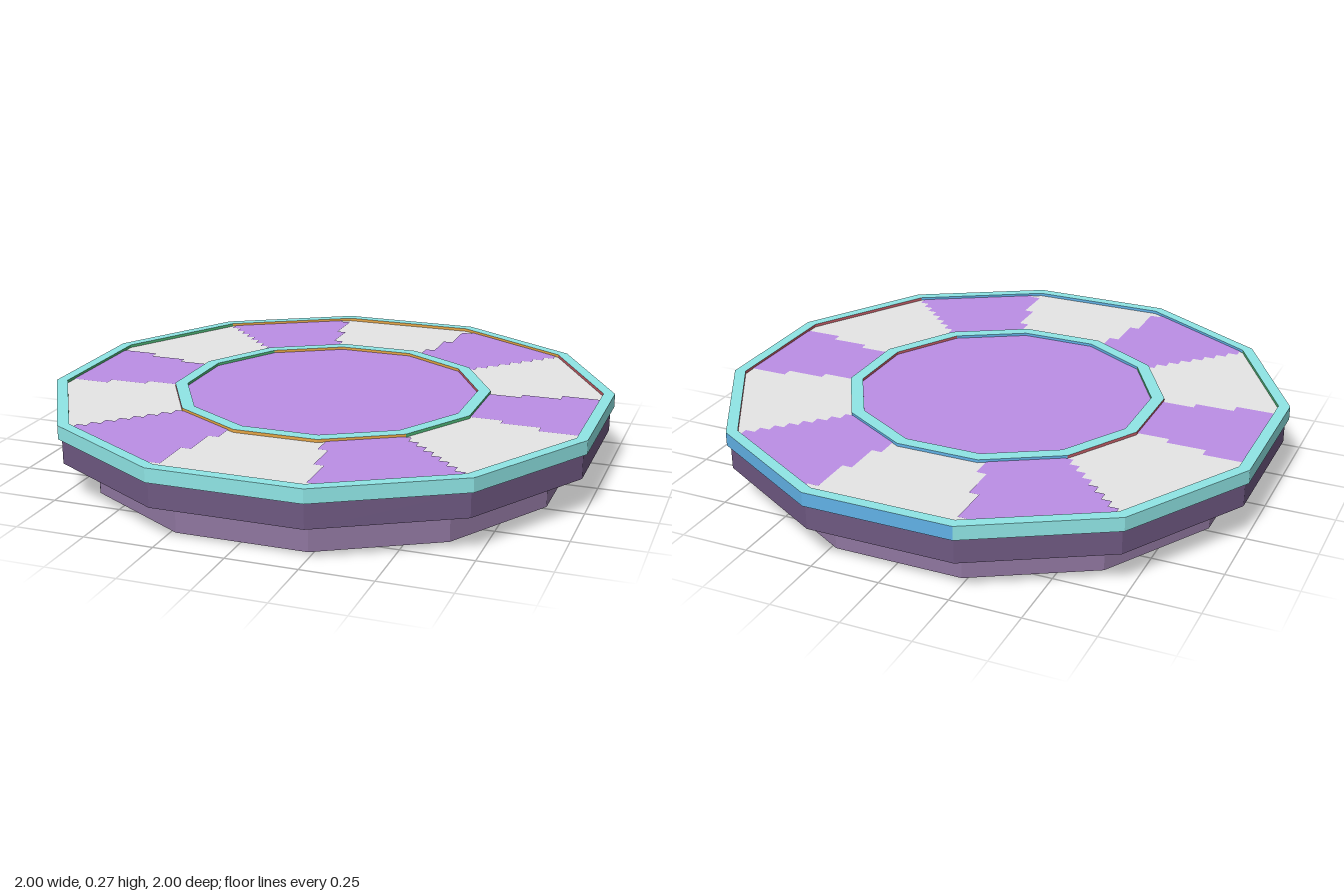
import * as THREE from 'three';

const paint = (name, color) => {
  const m = new THREE.MeshStandardMaterial({ color });
  m.name = name;
  return m;
};

const SIDES = 12;
const STEP = (Math.PI * 2) / SIDES;

// Corner of a twelve-sided ring whose flats lie at distance r from the axis
function corner(r, y, k) {
  const a = (k - 0.5) * STEP;
  const R = r / Math.cos(STEP / 2);
  return [R * Math.sin(a), y, R * Math.cos(a)];
}

// Sweep a profile [r, y] round twelve flat sides; pick(segment, side) gives the material index
function sweep(name, profile, materials, pick = () => 0) {
  const pos = [];
  const geo = new THREE.BufferGeometry();
  for (let s = 0; s < profile.length - 1; s++) {
    const [r0, y0] = profile[s];
    const [r1, y1] = profile[s + 1];
    for (let k = 0; k < SIDES; k++) {
      const a = corner(r0, y0, k), b = corner(r0, y0, k + 1);
      const c = corner(r1, y1, k + 1), d = corner(r1, y1, k);
      const start = pos.length / 3;
      if (r0 > 0) pos.push(...a, ...b, ...c);
      if (r1 > 0) pos.push(...a, ...c, ...d);
      geo.addGroup(start, pos.length / 3 - start, pick(s, k));
    }
  }
  geo.setAttribute('position', new THREE.Float32BufferAttribute(pos, 3));
  geo.computeVertexNormals();
  const mesh = new THREE.Mesh(geo, materials);
  mesh.name = name;
  return mesh;
}

// Flat patch from [x, z] points, lying face up
function patch(name, points, y, material) {
  const shape = new THREE.Shape(points.map(([x, z]) => new THREE.Vector2(x, -z)));
  const mesh = new THREE.Mesh(new THREE.ShapeGeometry(shape), material);
  mesh.rotation.x = -Math.PI / 2;
  mesh.position.y = y;
  mesh.name = name;
  return mesh;
}

export function createModel() {
  const model = new THREE.Group();
  model.name = 'dodecagonPlatform';

  const teal = paint('teal trim', 0x8fe5e5);
  const violet = paint('violet floor', 0xbb8ee5);
  const grey = paint('light grey floor', 0xe5e5e5);
  const plum = paint('dark plum', 0x6e5881);
  const mauve = paint('mauve', 0x8f769f);
  const under = paint('violet underside', 0xae83d0);
  const orange = paint('orange wall', 0xe5a545);
  const green = paint('green wall', 0x4fb878);
  const blue = paint('blue wall', 0x61b1e6);
  const red = paint('red wall', 0xc8606a);

  const trim = [orange, green, blue, red, teal];
  // Recess walls take a colour from the axis their normal points along
  const axisColour = (deg) => Math.floor(((deg + 45) % 360) / 90);
  const outward = (k) => axisColour(k * 30);
  const inward = (k) => axisColour(k * 30 + 180);

  // Lower foot and wider upper tier, each with a violet underside
  model.add(sweep('foot', [[0, 0], [0.866, 0], [0.866, 0.13]], [under, mauve], (s) => s));
  model.add(sweep('upperTier', [[0.866, 0.13], [0.987, 0.13], [0.987, 0.22]], [under, plum], (s) => s));

  // Outer rim: two back sides are blue, the rest teal
  model.add(sweep('outerRim',
    [[0.987, 0.22], [1, 0.22], [1, 0.27], [0.96, 0.27], [0.96, 0.258]], trim,
    (s, k) => (s === 3 ? inward(k) : s === 1 && (k === 5 || k === 6) ? 2 : 4)));

  // Inner ring
  model.add(sweep('innerRing',
    [[0.565, 0.258], [0.565, 0.27], [0.52, 0.27], [0.52, 0.258]], trim,
    (s, k) => (s === 0 ? outward(k) : s === 2 ? inward(k) : 4)));

  // Floors
  model.add(sweep('trackFloor', [[0.97, 0.259], [0.55, 0.259]], [grey]));
  model.add(sweep('centreFloor', [[0.53, 0.26], [0, 0.26]], [violet]));

  // Stepped violet patches at the two ends of the x axis
  const steps = [[0.55, 0.14], [0.68, 0.14], [0.68, 0.17], [0.82, 0.17], [0.82, 0.207], [0.965, 0.207]];
  const endPatch = [...steps, ...steps.map(([x, z]) => [x, -z]).reverse()];

  // Stepped violet patches between the axes, one in each quadrant
  const diagonal = [];
  const n = 8, from = 0.4, size = (0.69 - from) / n;
  for (let i = 0; i < n; i++) {
    const a = from + i * size;
    const z = a + size / 2;
    diagonal.push([a, z], [a + size, z]);
  }
  const cornerPatch = [
    [0.177, 0.545], [0.39, 0.41], ...diagonal, [0.69, 0.72], [0.29, 0.95],
    [0.29, 0.925], [0.25, 0.925], [0.25, 0.768], [0.214, 0.768], [0.214, 0.63], [0.177, 0.63],
  ];

  for (const sx of [1, -1]) {
    model.add(patch('endPatch', endPatch.map(([x, z]) => [sx * x, z]), 0.261, violet));
    for (const sz of [1, -1]) {
      model.add(patch('cornerPatch', cornerPatch.map(([x, z]) => [sx * x, sz * z]), 0.261, violet));
    }
  }

  return model;
}
